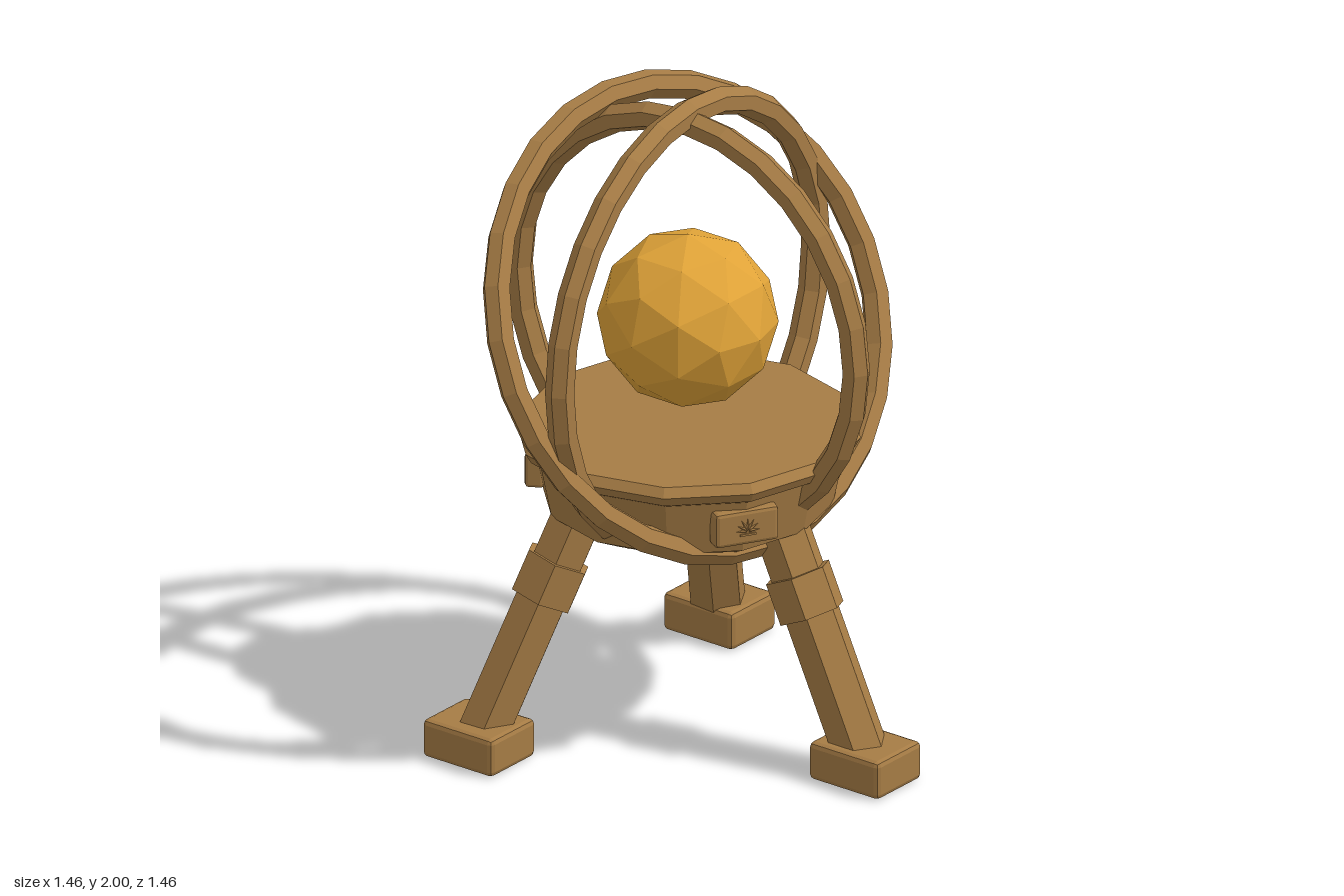
import * as THREE from 'three';
import { RoundedBoxGeometry } from 'three/addons/geometries/RoundedBoxGeometry.js';

const bronze = new THREE.MeshStandardMaterial({ color: 0xa67c45, flatShading: true });
bronze.name = 'bronze';
const gold = new THREE.MeshStandardMaterial({ color: 0xe0a338, flatShading: true });
gold.name = 'gold';

function add(parent, name, geometry, material = bronze) {
  const mesh = new THREE.Mesh(geometry, material);
  mesh.name = name;
  parent.add(mesh);
  return mesh;
}

// Hexagonal bar between two points, one corner facing outward
function hexBar(parent, name, from, to, radius) {
  const bar = add(parent, name, new THREE.CylinderGeometry(radius, radius, from.distanceTo(to), 6).rotateY(Math.PI / 2));
  bar.position.copy(from).add(to).multiplyScalar(0.5);
  bar.quaternion.setFromUnitVectors(new THREE.Vector3(0, 1, 0), to.clone().sub(from).normalize());
  return bar;
}

// Leg leaning outward along local +x, with a collar
function makeLeg() {
  const leg = new THREE.Group();
  leg.name = 'leg';
  const foot = new THREE.Vector3(0.645, 0.08, 0);
  const top = new THREE.Vector3(0.345, 0.73, 0);
  hexBar(leg, 'legBar', foot, top, 0.085);
  const at = (t) => foot.clone().lerp(top, t);
  hexBar(leg, 'legCollar', at(0.61), at(0.79), 0.103);
  return leg;
}

// Plaque with a raised sunburst, facing local +z
function makePlaque() {
  const plaque = new THREE.Group();
  plaque.name = 'plaque';
  add(plaque, 'plaquePlate', new RoundedBoxGeometry(0.2, 0.11, 0.06, 1, 0.012));
  for (let i = 0; i < 7; i++) {
    const a = (i / 6) * Math.PI;
    const ray = add(plaque, 'sunRay', new THREE.ConeGeometry(0.006, 0.035, 4));
    ray.position.set(Math.cos(a) * 0.022, -0.008 + Math.sin(a) * 0.022, 0.031);
    ray.rotation.z = a - Math.PI / 2;
  }
  add(plaque, 'sunBase', new THREE.BoxGeometry(0.05, 0.006, 0.008)).position.set(0, -0.02, 0.031);
  return plaque;
}

export function createModel() {
  const model = new THREE.Group();
  model.name = 'armillarySphere';

  // Everything is arranged around this axis
  const body = new THREE.Group();
  body.name = 'body';
  body.position.x = -0.06;
  model.add(body);

  // Twelve-sided platform with a bevelled rim
  const profile = [[0, 0.68], [0.33, 0.68], [0.43, 0.73], [0.465, 0.9], [0.495, 0.915],
    [0.512, 0.945], [0.49, 0.972], [0, 0.972]];
  add(body, 'platform', new THREE.LatheGeometry(profile.map(([x, y]) => new THREE.Vector2(x, y)), 12));

  // Central globe
  add(body, 'globe', new THREE.IcosahedronGeometry(0.268, 1), gold).position.y = 1.3;

  // Nested rings, each given by radius and axis
  const rings = [
    ['innerRing', 0.627, [0, 0, 1]],
    ['middleRing', 0.658, [1, 0, -0.057]],
    ['outerRing', 0.695, [1, 0.53, 0.18]],
  ];
  for (const [name, radius, axis] of rings) {
    const ring = add(body, name, new THREE.TorusGeometry(radius, 0.043, 6, 28));
    ring.position.y = 1.3;
    ring.quaternion.setFromUnitVectors(new THREE.Vector3(0, 0, 1), new THREE.Vector3(...axis).normalize());
  }

  // Three legs, feet and plaques
  for (let i = 0; i < 3; i++) {
    const a = (i * 2 * Math.PI) / 3;
    const leg = makeLeg();
    leg.rotation.y = -a;
    body.add(leg);

    const foot = add(body, 'foot', new RoundedBoxGeometry(0.26, 0.12, 0.212, 1, 0.016));
    foot.position.set(Math.cos(a) * 0.66, 0.06, Math.sin(a) * 0.66);

    const b = a + Math.PI / 6;
    const plaque = makePlaque();
    plaque.position.set(Math.cos(b) * 0.44, 0.82, Math.sin(b) * 0.44);
    plaque.rotation.y = Math.PI / 2 - b;
    body.add(plaque);
  }
  return model;
}
